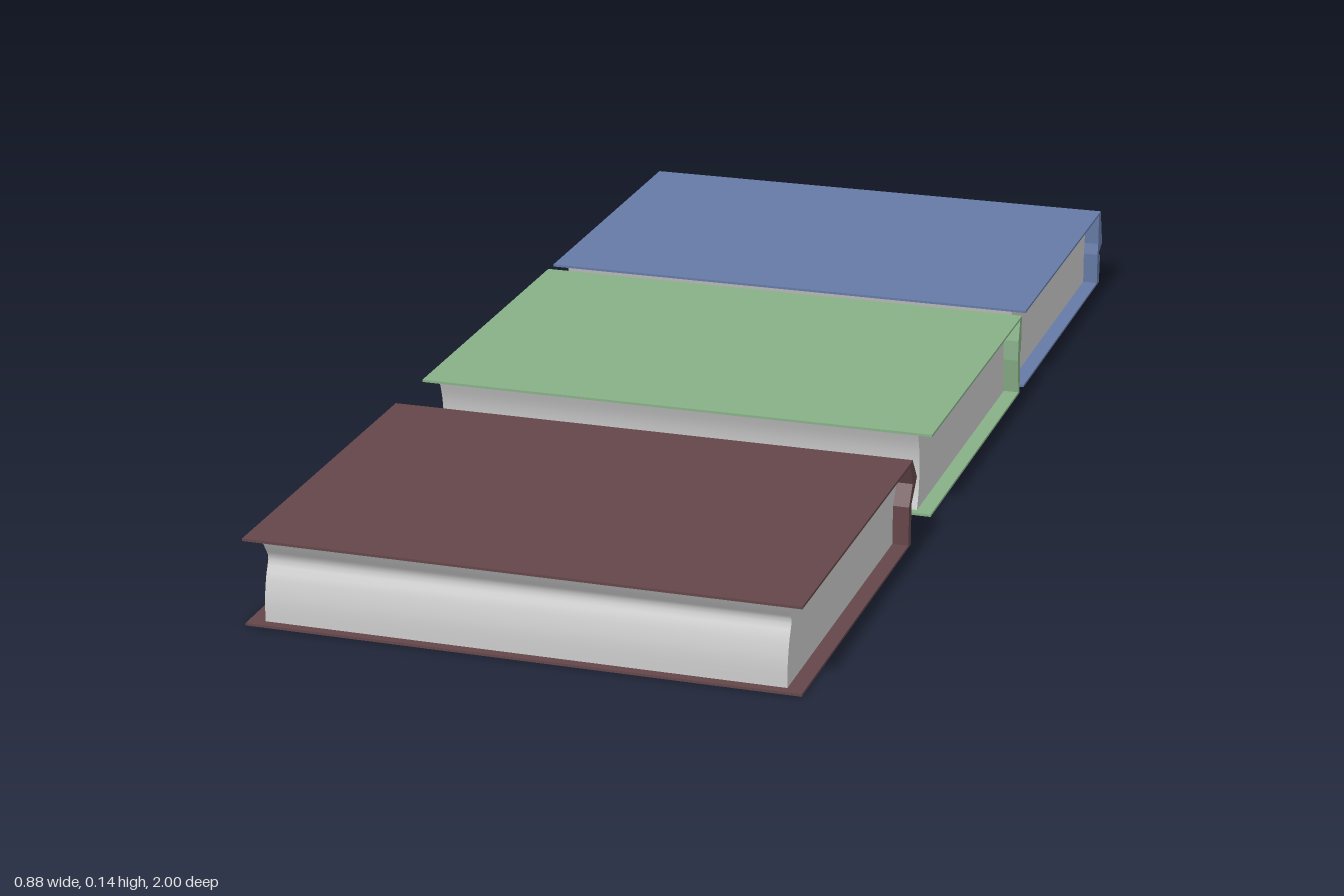
import * as THREE from 'three';
import { toCreasedNormals } from 'three/addons/utils/BufferGeometryUtils.js';

const X0 = -0.427, X1 = 0.439;          // cover ends
const PAGE0 = -0.401, PAGE1 = 0.413;    // page block ends
const TOP = 0.14, BOARD = 0.004;

// Extrudes a [z, y] side profile along x
function sideExtrude(points, x0, x1) {
  const shape = new THREE.Shape(points.map(([z, y]) => new THREE.Vector2(-z, y)));
  const geometry = new THREE.ExtrudeGeometry(shape, { depth: x1 - x0, bevelEnabled: false });
  return geometry.rotateY(Math.PI / 2).translate(x0, 0, 0);
}

function smoothProfile(points, n) {
  const curve = new THREE.SplineCurve(points.map(([z, y]) => new THREE.Vector2(z, y)));
  return curve.getPoints(n).map((p) => [p.x, p.y]);
}

function makeBook({ name, color, front, backTop, backBottom, fore, inner, outer, cornerY }) {
  const book = new THREE.Group();
  book.name = name;
  const cloth = new THREE.MeshStandardMaterial({ color, side: THREE.DoubleSide });
  const paper = new THREE.MeshStandardMaterial({ color: 0xcccccc });
  const add = (part, geometry, material) => {
    const mesh = new THREE.Mesh(geometry, material);
    mesh.name = part;
    book.add(mesh);
  };

  // Thin cover boards
  const board = (back, y) => new THREE.BoxGeometry(X1 - X0, BOARD, front - back)
    .translate((X0 + X1) / 2, y, (front + back) / 2);
  add('topCover', board(backTop, TOP - BOARD / 2), cloth);
  add('bottomCover', board(backBottom, BOARD / 2), cloth);

  // Page block with a hollowed fore edge, fitted against the spine
  const pages = sideExtrude([...smoothProfile(fore, 14), ...inner], PAGE0, PAGE1);
  add('pages', toCreasedNormals(pages, 0.7), paper);

  // Folded spine; one loose corner may stick out past the end
  const spine = sideExtrude([...outer, ...inner.slice().reverse()], X0, X1);
  if (cornerY) {
    const p = spine.attributes.position;
    for (let i = 0; i < p.count; i++) {
      if (p.getX(i) < 0 && Math.abs(p.getY(i) - cornerY) < 0.002) p.setX(i, -0.441);
    }
    spine.computeVertexNormals();
  }
  add('spine', spine, cloth);
  return book;
}

export function createModel() {
  const model = new THREE.Group();
  model.name = 'books';

  // fore runs bottom to top, inner runs top to bottom, outer runs top to bottom
  model.add(makeBook({
    name: 'redBook', color: 0x64464a, front: 1, backTop: 0.386, backBottom: 0.39,
    fore: [[0.985, 0.003], [0.984, 0.04], [0.976, 0.075], [0.966, 0.1], [0.976, 0.118], [0.988, 0.137]],
    inner: [[0.402, 0.137], [0.386, 0.1], [0.406, 0.068], [0.406, 0.003]],
    outer: [[0.388, 0.14], [0.36, 0.103], [0.391, 0.068], [0.391, 0]],
  }));

  model.add(makeBook({
    name: 'greenBook', color: 0x88b088, front: 0.268, backTop: -0.346, backBottom: -0.344,
    fore: [[0.255, 0.003], [0.246, 0.035], [0.243, 0.07], [0.247, 0.105], [0.258, 0.137]],
    inner: [[-0.334, 0.137], [-0.325, 0.1], [-0.324, 0.065], [-0.334, 0.003]],
    outer: [[-0.346, 0.14], [-0.345, 0.08], [-0.338, 0.073], [-0.344, 0]],
    cornerY: 0.08,
  }));

  model.add(makeBook({
    name: 'blueBook', color: 0x667aa6, front: -0.373, backTop: -0.979, backBottom: -0.983,
    fore: [[-0.38, 0.003], [-0.387, 0.035], [-0.389, 0.07], [-0.386, 0.105], [-0.378, 0.137]],
    inner: [[-0.964, 0.137], [-0.966, 0.08], [-0.962, 0.06], [-0.964, 0.003]],
    outer: [[-0.979, 0.14], [-1, 0.073], [-0.974, 0.06], [-0.985, 0.052], [-0.983, 0]],
  }));

  return model;
}
